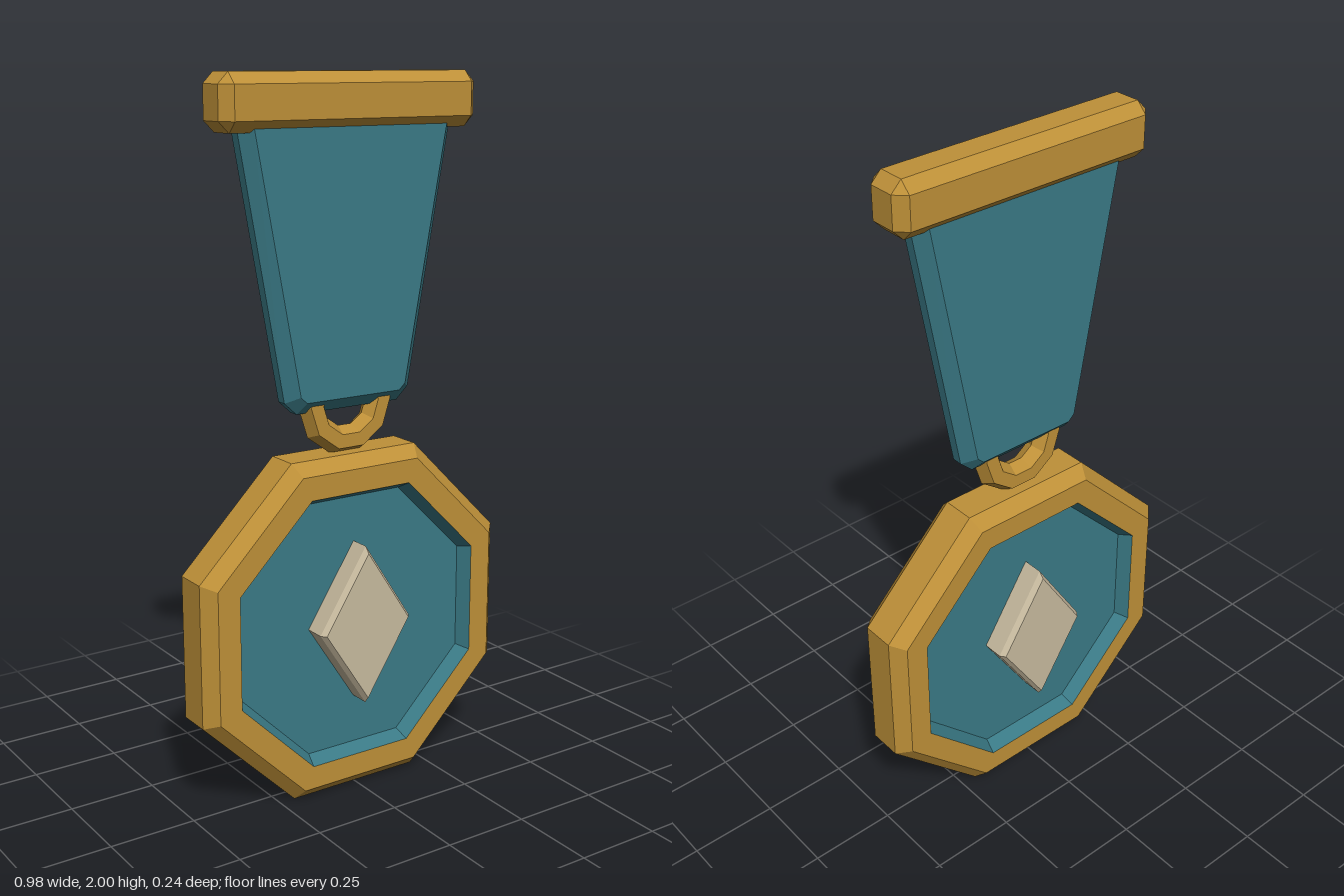
import * as THREE from 'three';
import { ConvexGeometry } from 'three/addons/geometries/ConvexGeometry.js';

const gold = new THREE.MeshStandardMaterial({ name: 'gold', color: 0xbe9038 });
const teal = new THREE.MeshStandardMaterial({ name: 'teal', color: 0x3a7a86 });
const cream = new THREE.MeshStandardMaterial({ name: 'cream', color: 0xc8bb9f });

// Separate every face so that it is shaded flat
function facet(geometry) {
  const flat = geometry.index ? geometry.toNonIndexed() : geometry;
  flat.computeVertexNormals();
  return flat;
}

// Polygonal disc facing z, from a [radius, z] profile running back to front
function polyDisc(profile, sides, phase = 0) {
  const points = profile.map(([r, z]) => new THREE.Vector2(r, z));
  return new THREE.LatheGeometry(points, sides, phase).rotateX(Math.PI / 2);
}

// Box with every edge cut at 45 degrees
function chamferBox(x, y, z, c) {
  const points = [];
  for (const sx of [-1, 1]) for (const sy of [-1, 1]) for (const sz of [-1, 1]) {
    points.push(
      new THREE.Vector3(sx * x, sy * (y - c), sz * (z - c)),
      new THREE.Vector3(sx * (x - c), sy * y, sz * (z - c)),
      new THREE.Vector3(sx * (x - c), sy * (y - c), sz * z));
  }
  return new ConvexGeometry(points);
}

export function createModel() {
  const model = new THREE.Group();
  model.name = 'medal';
  const add = (name, geometry, material, y = 0) => {
    const mesh = new THREE.Mesh(facet(geometry), material);
    mesh.name = name;
    mesh.position.y = y;
    model.add(mesh);
  };

  // Octagonal medal: profiles use flat-to-centre distances
  const centre = 0.491;
  const octagon = (profile) =>
    polyDisc(profile.map(([a, z]) => [a / Math.cos(Math.PI / 8), z]), 8, Math.PI / 8);
  add('rim', octagon([
    [0.389, -0.085], [0.456, -0.085], [0.491, -0.048],
    [0.491, 0.048], [0.456, 0.085], [0.389, 0.085],
  ]), gold, centre);
  // Recessed fields with sloping walls
  add('frontField', octagon([[0.389, 0.085], [0.368, 0.045], [0, 0.045]]), teal, centre);
  add('backField', octagon([[0, -0.045], [0.368, -0.045], [0.389, -0.085]]), teal, centre);

  // Diamond standing out on both faces
  const diamond = polyDisc([
    [0, -0.12], [0.92, -0.12], [1, -0.105], [1, 0.105], [0.92, 0.12], [0, 0.12],
  ], 4).scale(0.15, 0.232, 1);
  add('diamond', diamond, cream, 0.497);

  // Hanging ring
  add('ring', new THREE.TorusGeometry(0.11, 0.04, 6, 10), gold, 1.12);

  // Tapered ribbon with bevelled edges
  const outline = new THREE.Shape([
    [-0.165, 1.105], [0.165, 1.105], [0.203, 1.14],
    [0.348, 1.93], [-0.348, 1.93], [-0.203, 1.14],
  ].map(([x, y]) => new THREE.Vector2(x, y)));
  const ribbon = new THREE.ExtrudeGeometry(outline, {
    depth: 0.03, bevelSegments: 1, bevelThickness: 0.033, bevelSize: 0.035, bevelOffset: -0.035,
  }).translate(0, 0, -0.015);
  add('ribbon', ribbon, teal);

  // Top bar
  add('bar', chamferBox(0.4, 0.075, 0.068, 0.03), gold, 1.925);

  return model;
}
